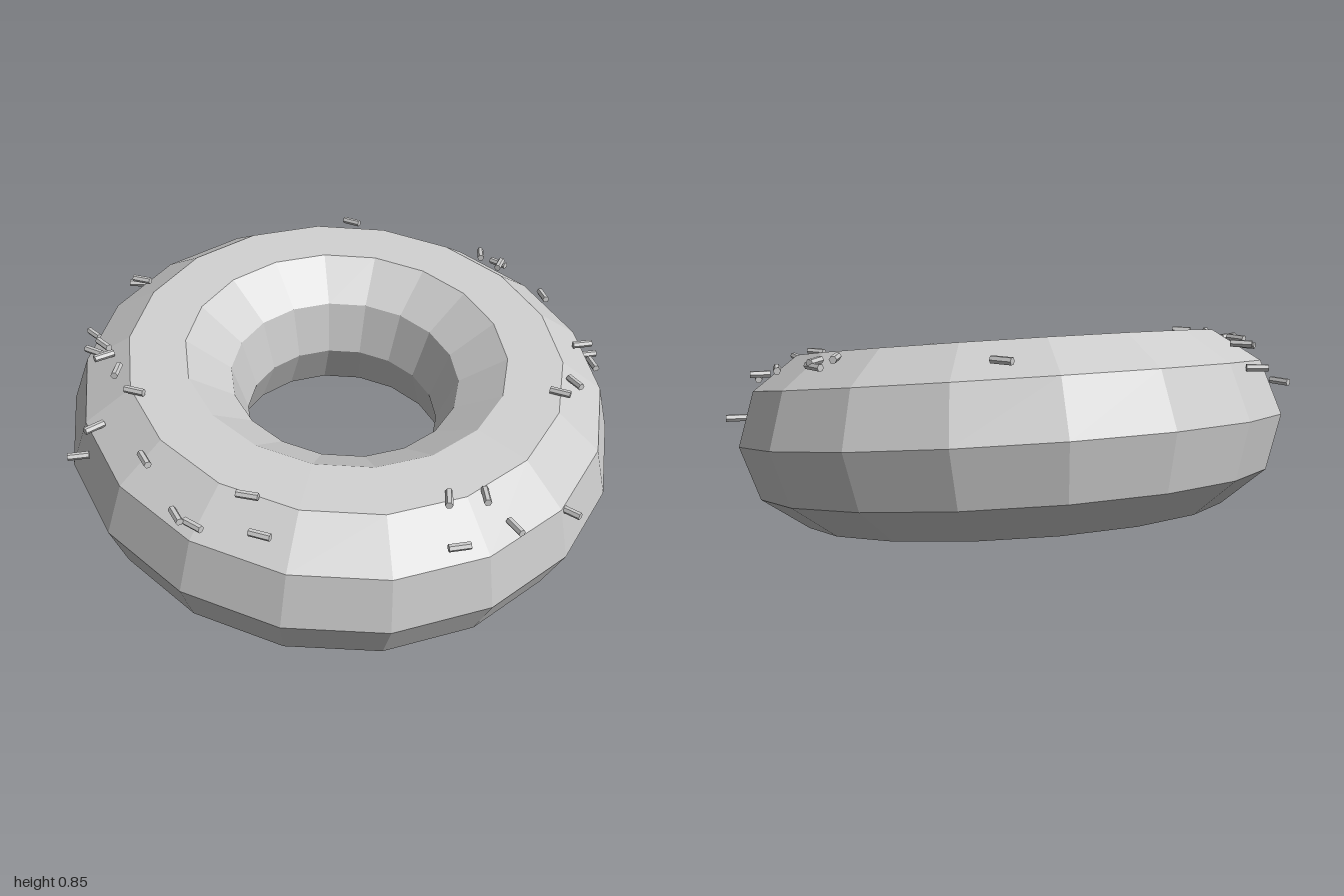
import * as THREE from 'three';

const TILT = 0.18, RING = 0.658, TUBE = 0.314, CX = -0.008, CY = 0.43;

// Sprinkles seen from above: x, z, and the direction (dx, dz) each one points
const SPRINKLES = [
  [0.30, -0.77, 5, 6], [-0.60, -0.69, 7, 3], [-0.60, -0.59, 6, 5], [-0.81, -0.51, 3, 7],
  [-0.84, -0.24, 5, 6], [-0.805, -0.23, 3, 7], [-0.815, -0.16, 7, -2], [-0.79, -0.045, 3, -7],
  [-0.755, 0.085, 6, 5], [-0.965, 0.105, 7, 1], [-0.90, 0.11, 7, -3], [-0.78, 0.35, 1, 7],
  [-0.73, 0.55, 1, 7], [-0.69, 0.60, 4, 6], [-0.52, 0.61, 6, 4], [-0.515, 0.72, 6, 5],
  [0.06, 0.79, 3, -7], [0.18, 0.80, 2, -7], [0.25, 0.875, 1, 7], [0.05, 0.905, 7, 1],
  [0.48, 0.815, 3, 5], [0.61, 0.46, 5, 5], [0.695, 0.41, 1, 7], [0.855, 0.26, 1, -7],
  [0.86, 0.17, 7, 1], [0.96, 0.06, 7, 1], [0.84, -0.11, 1, -7], [0.70, -0.38, 3, -7],
  [0.76, -0.34, 3, 6], [0.75, -0.31, 5, -6],
];

// Height of the tilted ring's upper surface under a point
function surfaceY(x, z) {
  const t = TUBE + 0.012, s = Math.sin(TILT), c = Math.cos(TILT);
  let h = 0.15, zl = z;
  for (let i = 0; i < 12; i++) {
    zl = (z - h * s) / c;
    const d = Math.hypot(x - CX, zl) - RING;
    h = (h + Math.sqrt(Math.max(0.008, t * t - d * d))) / 2;
  }
  return CY - zl * s + h * c;
}

export function createModel() {
  const model = new THREE.Group();
  model.name = 'doughnut';
  const grey = new THREE.MeshStandardMaterial({ color: 0xcccccc });
  grey.name = 'lightGrey';
  grey.flatShading = true;

  // Ring of dough, tipped towards the front
  const ringGeometry = new THREE.TorusGeometry(RING, TUBE, 10, 18);
  ringGeometry.rotateX(-Math.PI / 2);
  const ring = new THREE.Mesh(ringGeometry, grey);
  ring.name = 'doughRing';
  ring.rotation.x = TILT;
  ring.position.set(CX, CY, 0);
  model.add(ring);

  // Sprinkles lying level around the upper outside
  const sprinkles = new THREE.Group();
  sprinkles.name = 'sprinkles';
  const rod = new THREE.CylinderGeometry(0.0125, 0.0125, 0.07, 6);
  rod.rotateZ(Math.PI / 2);
  for (const [x, z, dx, dz] of SPRINKLES) {
    const sprinkle = new THREE.Mesh(rod, grey);
    sprinkle.name = 'sprinkle';
    sprinkle.position.set(x, surfaceY(x, z), z);
    sprinkle.rotation.y = -Math.atan2(dz, dx);
    sprinkles.add(sprinkle);
  }
  model.add(sprinkles);
  return model;
}
